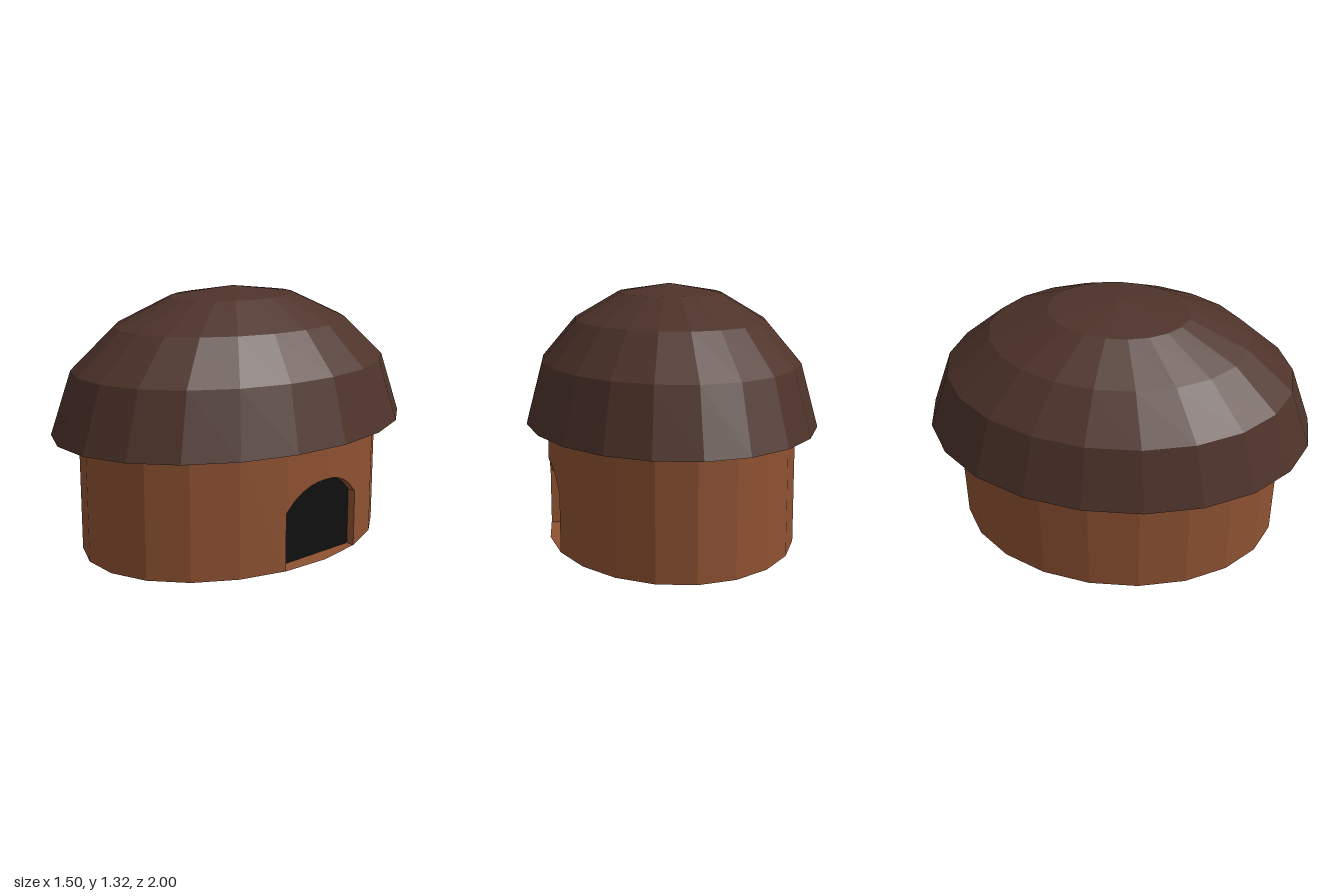
import * as THREE from 'three';

const SIDES = 21;
const RX = 0.752, RZ = 1.0056, Z0 = 0.0056; // oval plan of the roof rim
const WALL = 0.856, WALL_TOP = 0.7;         // wall size relative to the rim
const DOOR = { z: -0.053, half: 0.253, spring: 0.295, rise: 0.125, back: 0.555 };

const mat = (name, color, side = THREE.DoubleSide) => {
  const m = new THREE.MeshStandardMaterial({ color, side, flatShading: true });
  m.name = name;
  return m;
};

function mesh(name, geometry, material) {
  const m = new THREE.Mesh(geometry, material);
  m.name = name;
  return m;
}

// Strip of quads between two equally long rows of points
function strip(lower, upper) {
  const pos = [];
  for (let i = 0; i < lower.length - 1; i++) {
    const [a, b, c, d] = [lower[i], lower[i + 1], upper[i + 1], upper[i]];
    for (const p of [a, b, c, a, c, d]) pos.push(p.x, p.y, p.z);
  }
  const g = new THREE.BufferGeometry();
  g.setAttribute('position', new THREE.Float32BufferAttribute(pos, 3));
  g.computeVertexNormals();
  return g;
}

// Corner i of the wall, counted from the back towards the door side (+x)
function corner(i) {
  const a = Math.PI - (i * 2 * Math.PI) / SIDES;
  return new THREE.Vector3(Math.sin(a) * RX * WALL, 0, (Math.cos(a) * RZ + Z0) * WALL);
}

// Point on the faceted wall of the door side at a given z
function wallAt(z) {
  let i = 0;
  while (corner(i + 1).z < z) i++;
  const p = corner(i), q = corner(i + 1);
  return p.lerp(q, (z - p.z) / (q.z - p.z));
}

// Height of the door's arch at a given z
function archAt(z) {
  const { half, rise, spring } = DOOR;
  const r = (half * half + rise * rise) / (2 * rise);
  return spring + rise - r + Math.sqrt(r * r - (z - DOOR.z) ** 2);
}

export function createModel() {
  const thatch = mat('darkBrownThatch', 0x4e332a, THREE.FrontSide);
  const clay = mat('brownClay', 0x8f5232);
  const dark = mat('blackShade', 0x101010);
  const hut = new THREE.Group();
  hut.name = 'roundHut';

  // Domed roof with a dark underside
  const profile = [[1, 0.615], [0.887, 0.933], [0.655, 1.14], [0.353, 1.275], [0, 1.32]]
    .map(([r, y]) => new THREE.Vector2(r, y));
  const roof = new THREE.LatheGeometry(profile, SIDES, Math.PI);
  roof.scale(RX, 1, RZ).translate(0, 0, Z0);
  hut.add(mesh('roof', roof, thatch));
  const inner = profile.map(p => new THREE.Vector2(p.x * 0.995, p.y - (p.y > 0.7 ? 0.005 : 0))).reverse();
  const under = new THREE.LatheGeometry(inner, SIDES, Math.PI);
  under.scale(RX, 1, RZ).translate(0, 0, Z0);
  hut.add(mesh('roofUnderside', under, dark));

  // Ceiling facing down inside the wall
  const ceiling = new THREE.CircleGeometry(1, SIDES, Math.PI / 2 * 3);
  ceiling.rotateX(Math.PI / 2);
  ceiling.scale(RX * WALL, 1, RZ * WALL).translate(0, WALL_TOP, Z0 * WALL);
  hut.add(mesh('ceiling', ceiling, thatch));

  // Stations across the doorway, including the wall corners inside it
  const z1 = DOOR.z - DOOR.half, z2 = DOOR.z + DOOR.half;
  const stations = [];
  for (let i = 0; i <= 10; i++) stations.push(z1 + (z2 - z1) * i / 10);
  for (let i = 0; i <= SIDES / 2; i++) {
    const z = corner(i).z;
    if (z > z1 + 0.001 && z < z2 - 0.001) stations.push(z);
  }
  stations.sort((a, b) => a - b);
  const sill = stations.map(wallAt);
  const arch = sill.map(p => p.clone().setY(archAt(p.z)));

  // Wall: one row of panels whose lower edge follows the doorway
  const base = [];
  let cut = false;
  for (let i = 0; i <= SIDES; i++) {
    const p = corner(i), doorSide = i <= SIDES / 2;
    if (doorSide && p.z > z1 && !cut) {
      base.push(sill[0], ...arch, sill[sill.length - 1]);
      cut = true;
    }
    if (!(doorSide && p.z > z1 && p.z < z2)) base.push(p);
  }
  hut.add(mesh('wall', strip(base, base.map(p => p.clone().setY(WALL_TOP))), clay));

  // Shallow recess: jambs, arch and sill, closed by a dark panel
  const rim = [sill[0], ...arch, sill[sill.length - 1]];
  const toBack = p => p.clone().setX(DOOR.back);
  hut.add(mesh('doorJamb', strip(rim, rim.map(toBack)), clay));
  hut.add(mesh('doorSill', strip(sill, sill.map(toBack)), clay));
  hut.add(mesh('doorway', strip(sill.map(toBack).reverse(), arch.map(toBack).reverse()), dark));

  return hut;
}
